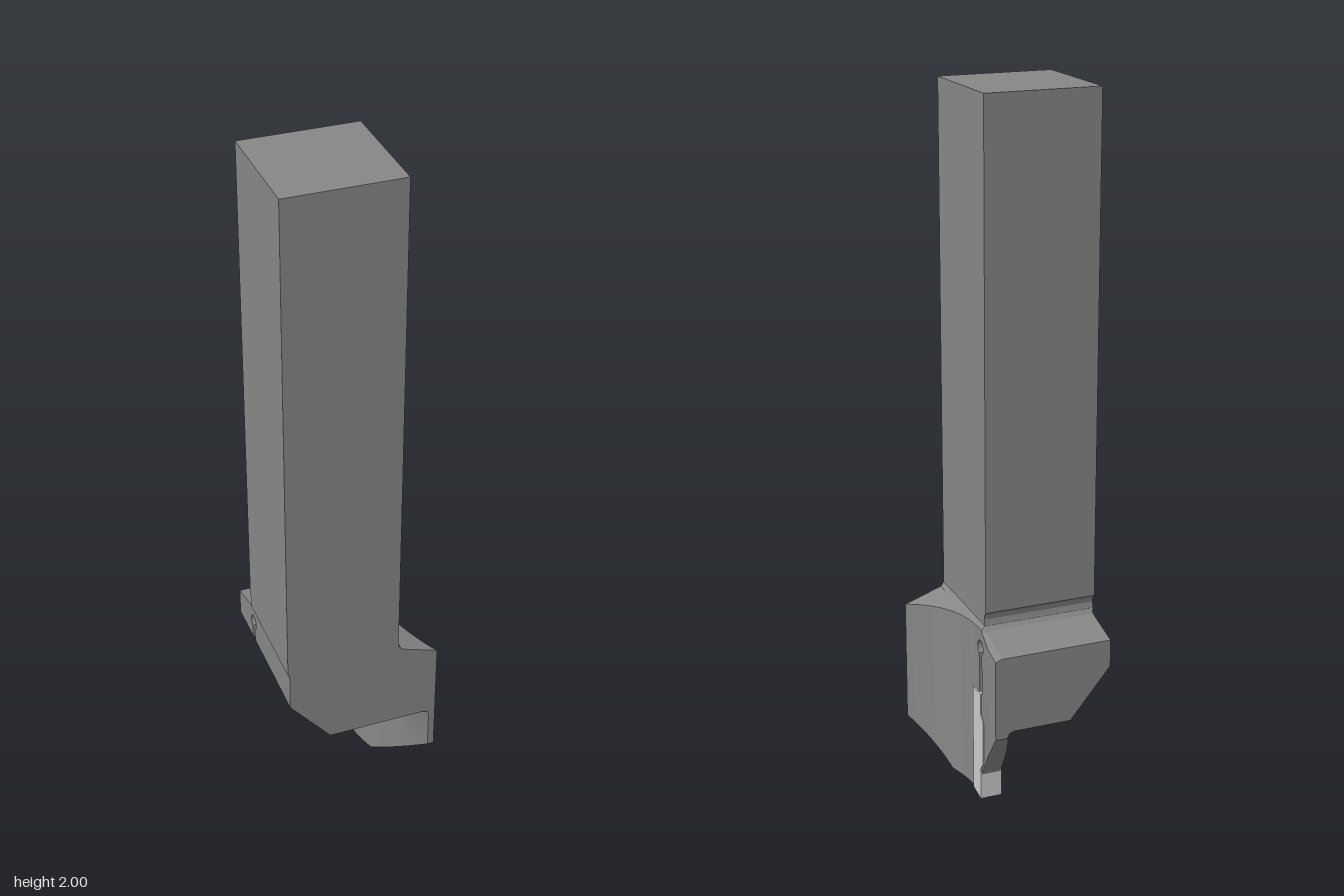
import * as THREE from 'three';
import { toCreasedNormals } from 'three/addons/utils/BufferGeometryUtils.js';

const steel = new THREE.MeshStandardMaterial({ color: 0x878787, side: THREE.DoubleSide });
const carbide = new THREE.MeshStandardMaterial({ color: 0xcccccc, side: THREE.DoubleSide });
const FRONT = 0.226, BACK = -0.226;
const HOLE = { z: -0.095, y: 0.47, r: 0.022 }, SLOT = 0.01, SLOT_FLOOR = 0.33;

// Piecewise-linear lookup, points ordered by rising z
function lerpTable(points, z) {
  for (let i = 1; i < points.length; i++) {
    const [z0, y0] = points[i - 1], [z1, y1] = points[i];
    if (z <= z1) return y0 + (y1 - y0) * Math.max(0, (z - z0) / (z1 - z0));
  }
  return points[points.length - 1][1];
}

// Plan arcs of the curved blade, lower edge and head top along z
const arc = (x, r, z) => x + r - Math.sqrt(r * r - (z + 0.08) ** 2);
const outer = z => z < -0.08 ? Math.min(0.125, arc(0.117, 0.49, z)) : arc(0.117, 0.49, z);
const inner = z => arc(0.06, 0.395, z);
const bottom = z => lerpTable([[BACK, 0.247], [-0.105, 0.085], [-0.085, 0.03], [-0.06, 0.03], [-0.045, 0.015], [0.07, 0.015], [FRONT, 0.13]], z);
const top = z => lerpTable([[BACK, 0.49], [-0.122, 0.518], [-0.11, 0.522], [-0.1, 0.535], [FRONT, 0.54]], z);
const holeHalf = z => Math.sqrt(Math.max(0, HOLE.r ** 2 - (z - HOLE.z) ** 2));

// Sloping shoulder with a small fillet against the shank
const roof = z => {
  const base = Math.min(top(z), 0.53), x = outer(z);
  return [[x, base - 0.35 * (x - 0.105)], [0.114, base - 0.003], [0.105, top(z)], [-0.22, top(z)]];
};
const underside = z => {
  const x = inner(z), b = bottom(z);
  return [[-0.22, 0.41], [-0.1, 0.265], [x - 0.016, 0.265], [x - 0.004, 0.26], [x, 0.25], [x, b], [outer(z), b]];
};

// Cross-sections in xy
const fullSection = z => [...underside(z), ...roof(z)];
const bridgeSection = z => {
  const h = HOLE.y + holeHalf(z);
  return [[-0.22, h], [outer(z), h], ...roof(z)];
};
const jawSection = z => {
  const h = HOLE.y - holeHalf(z);
  return [...underside(z), [outer(z), h], [-0.22, h]];
};
const floorSection = z => [...underside(z).slice(1), [outer(z), SLOT_FLOOR], [-0.154, SLOT_FLOOR]];

// Skin cross-sections from front to back and cap both ends
function loft(section, stations) {
  const rings = stations.map(section), n = rings[0].length;
  const pos = rings.flatMap((ring, k) => ring.flatMap(([x, y]) => [x, y, stations[k]]));
  const index = [];
  for (let k = 0; k < rings.length - 1; k++) {
    for (let i = 0; i < n; i++) {
      const a = k * n + i, b = k * n + (i + 1) % n;
      index.push(a, a + n, b, b, a + n, b + n);
    }
  }
  const cap = ring => THREE.ShapeUtils.triangulateShape(ring.map(p => new THREE.Vector2(...p)), []);
  const last = (rings.length - 1) * n;
  for (const [a, b, c] of cap(rings[0])) index.push(a, b, c);
  for (const [a, b, c] of cap(rings[rings.length - 1])) index.push(last + a, last + c, last + b);
  const geo = new THREE.BufferGeometry();
  geo.setAttribute('position', new THREE.Float32BufferAttribute(pos, 3));
  geo.setIndex(index);
  return toCreasedNormals(geo, 0.3);
}

// Outline in the z-y plane, extruded from x0 to x1
function sideExtrude(outline, x0, x1) {
  const shape = new THREE.Shape(outline.map(p => new THREE.Vector2(...p)));
  const geo = new THREE.ExtrudeGeometry(shape, { depth: x1 - x0, bevelEnabled: false });
  return geo.rotateY(-Math.PI / 2).translate(x1, 0, 0);
}

const range = (a, b, n) => Array.from({ length: n + 1 }, (_, i) => a + (b - a) * i / n);

export function createModel() {
  const group = new THREE.Group();
  const add = (name, geo, material = steel) => {
    const mesh = new THREE.Mesh(geo, material);
    mesh.name = name;
    group.add(mesh);
  };

  // Square shank with a shallow relief groove at the foot of its back
  add('shank', sideExtrude([[FRONT, 0.53], [FRONT, 2], [-0.104, 2], [-0.104, 0.575], [-0.096, 0.566],
    [-0.093, 0.552], [-0.096, 0.538], [-0.1, 0.53]], -0.225, 0.105));

  // Head with curved blade, split by the clamping slot and its relief hole
  const holeFront = HOLE.z + HOLE.r, holeBack = HOLE.z - HOLE.r;
  const slotFront = HOLE.z + SLOT, slotBack = HOLE.z - SLOT;
  add('headFront', loft(fullSection, [...range(FRONT, 0.07, 12), ...range(0.07, -0.045, 8).slice(1), -0.06, holeFront]));
  add('slotBridge', loft(bridgeSection, range(0, Math.PI, 18).map(t => HOLE.z + HOLE.r * Math.cos(t))));
  add('lowerJaw', loft(jawSection, range(holeFront, slotFront, 6)));
  add('slotFloor', loft(floorSection, range(slotFront, slotBack, 2)));
  add('clampJaw', loft(jawSection, range(slotBack, holeBack, 6)));
  add('headBack', loft(fullSection, [holeBack, -0.122, ...range(-0.13, BACK, 8)]));

  // Cutting insert, standing slightly proud of the blade
  add('cuttingInsert', sideExtrude([[-0.045, 0.01], [-0.045, 0.33], [-0.102, 0.33], [-0.102, 0.265],
    [-0.121, 0.25], [-0.121, 0.12], [-0.102, 0.095], [-0.102, 0]], 0.057, 0.121), carbide);

  return group;
}
